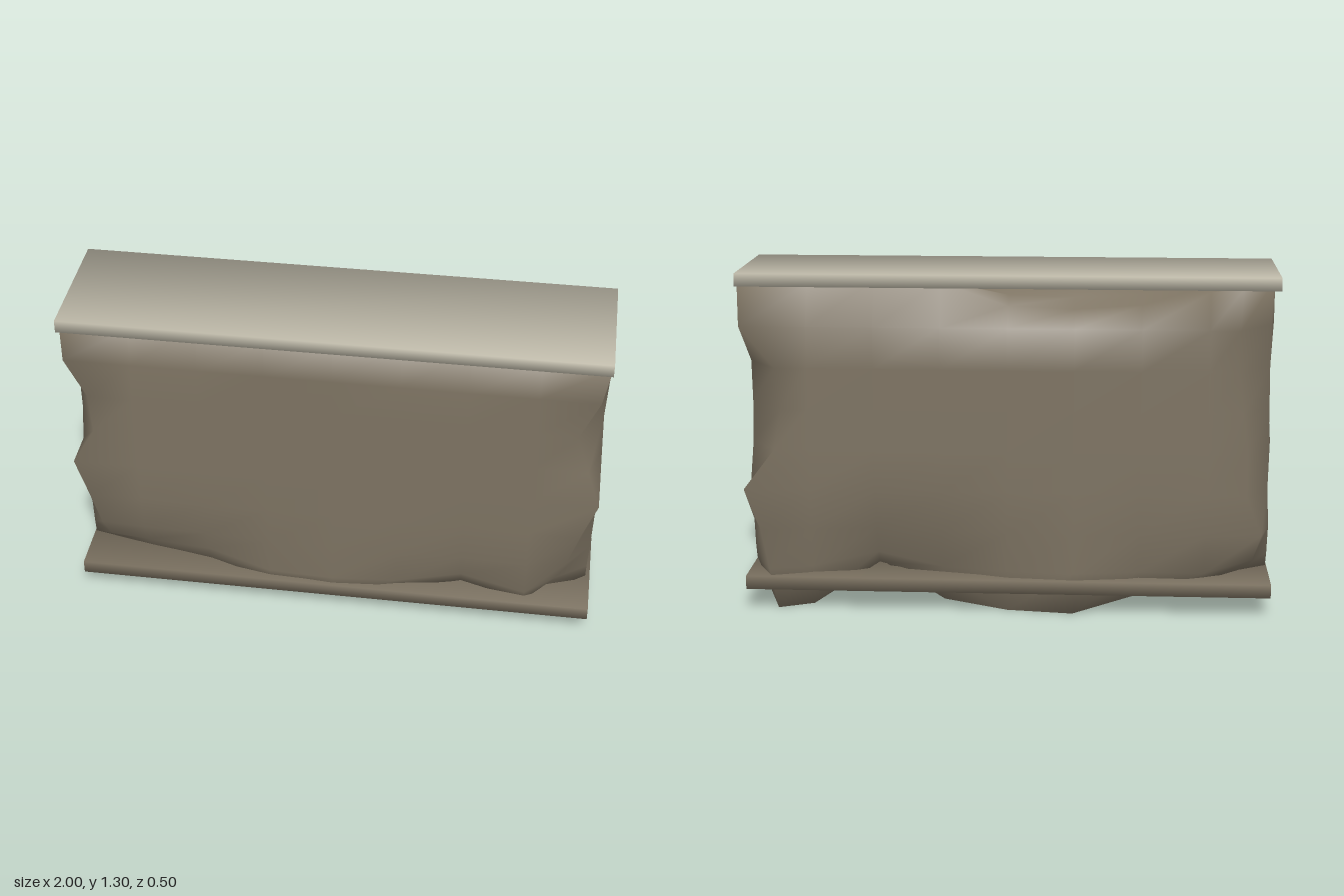
import * as THREE from 'three';
import { mergeVertices } from 'three/addons/utils/BufferGeometryUtils.js';

const H = 1.257; // height of the rough block

// Box with shared vertices, so that its normals are smooth
function weldedBox(w, h, d, sx = 1, sy = 1, sz = 1) {
  const g = new THREE.BoxGeometry(w, h, d, sx, sy, sz);
  g.deleteAttribute('normal');
  g.deleteAttribute('uv');
  return mergeVertices(g, 1e-4);
}

// Chipped end edges: inset in x for each of nine rows, bottom to top
const endInset = {
  leftFront: [0.15, 0.14, 0.1, 0.06, 0, 0.05, 0.1, 0.03, 0],
  leftBack: [0.12, 0.09, 0.06, 0, 0.12, 0.15, 0.13, 0, 0],
  rightFront: [0.12, 0.1, 0.08, 0.05, 0, 0.09, 0.08, 0, 0],
  rightBack: [0.1, 0.07, 0.04, 0.1, 0.1, 0.12, 0.14, 0.14, 0.13],
};

// Broken bottom and top edges: values for each of nine columns, -x to +x
const bottomY = {
  front: [0.165, 0.16, 0.157, 0.1, 0.07, 0.1, 0.155, 0.1, 0.16],
  middle: [0.16, 0.11, 0.055, 0, 0, 0, 0.155, 0, 0.16],
  back: [0.16, 0.11, 0.055, 0, 0, 0.1, 0.157, 0, 0],
};
const bottomZ = {
  front: [[0.07, 0.1, 0.14, 0.18, 0.2, 0.15, 0.14, 0.16, 0.1],
    [0.12, 0.13, 0.15, 0.19, 0.2, 0.18, 0.16, 0.18, 0.14],
    [0.17, 0.18, 0.185, 0.2, 0.2, 0.2, 0.19, 0.2, 0.17]],
  back: [[0.1, 0.1, 0.12, 0.2, 0.17, 0.1, 0.08, 0.13, 0.19],
    [0.15, 0.17, 0.16, 0.2, 0.18, 0.13, 0.11, 0.15, 0.2],
    [0.18, 0.2, 0.19, 0.2, 0.2, 0.18, 0.16, 0.18, 0.2]],
};
const topZ = {
  front: [0.2, 0.19, 0.17, 0.2, 0.2, 0.19, 0.17, 0.2, 0.2],
  back: [0.2, 0.16, 0.1, 0.09, 0.09, 0.1, 0.13, 0.14, 0.2],
};
const backTopDrop = [0, 0.02, 0.08, 0.1, 0.09, 0, 0, 0, 0];

function roughBlock() {
  const g = weldedBox(2, H, 0.4, 8, 8, 3);
  const p = g.attributes.position;
  for (let n = 0; n < p.count; n++) {
    let x = p.getX(n), y = p.getY(n) + H / 2, z = p.getZ(n);
    const col = Math.round((x + 1) * 4), row = Math.round((y / H) * 8);
    const face = z > 0 ? 'front' : 'back', dir = Math.sign(z);
    const outer = Math.abs(z) > 0.15;
    // ragged underside, with the lower rows kept above it
    const floor = bottomY[outer ? face : 'middle'][col];
    y = row === 0 ? floor : Math.max(y, floor + row * 0.05);
    if (outer) {
      if (row < 3) z = dir * bottomZ[face][row][col];
      if (row === 8) z = dir * topZ[face][col];
    } else {
      z = dir * 0.05;
    }
    // broken top edge at the back
    if (row === 8 && face === 'back') y -= backTopDrop[col] * (outer ? 1 : 0.6);
    // chipped ends
    if (col === 0 || col === 8) {
      const side = x > 0 ? 'left' : 'right';
      const inset = endInset[side + (face === 'front' ? 'Front' : 'Back')][row];
      x -= Math.sign(x) * inset * (outer ? 1 : 0.12);
    }
    p.setXYZ(n, x, y, z);
  }
  g.computeVertexNormals();
  return g;
}

// Slab whose corner normals point diagonally outwards, for soft shading
function slab(w, h, d) {
  const g = weldedBox(w, h, d);
  const p = g.attributes.position;
  const normals = Array.from(p.array, (v) => Math.sign(v) / Math.sqrt(3));
  g.setAttribute('normal', new THREE.Float32BufferAttribute(normals, 3));
  return g;
}

export function createModel() {
  const stone = new THREE.MeshStandardMaterial({ color: 0x7d7362 });
  stone.name = 'brownStone';
  const pale = new THREE.MeshStandardMaterial({ color: 0xc4bfae });
  pale.name = 'paleStone';

  const group = new THREE.Group();
  group.name = 'stoneWall';
  const add = (name, geometry, material, y = 0) => {
    const mesh = new THREE.Mesh(geometry, material);
    mesh.name = name;
    mesh.position.y = y;
    group.add(mesh);
  };

  add('wallBlock', roughBlock(), stone);
  add('baseSlab', slab(2, 0.052, 0.43), stone, 0.106);
  add('capSlab', slab(2, 0.048, 0.5), pale, 1.281);
  return group;
}
